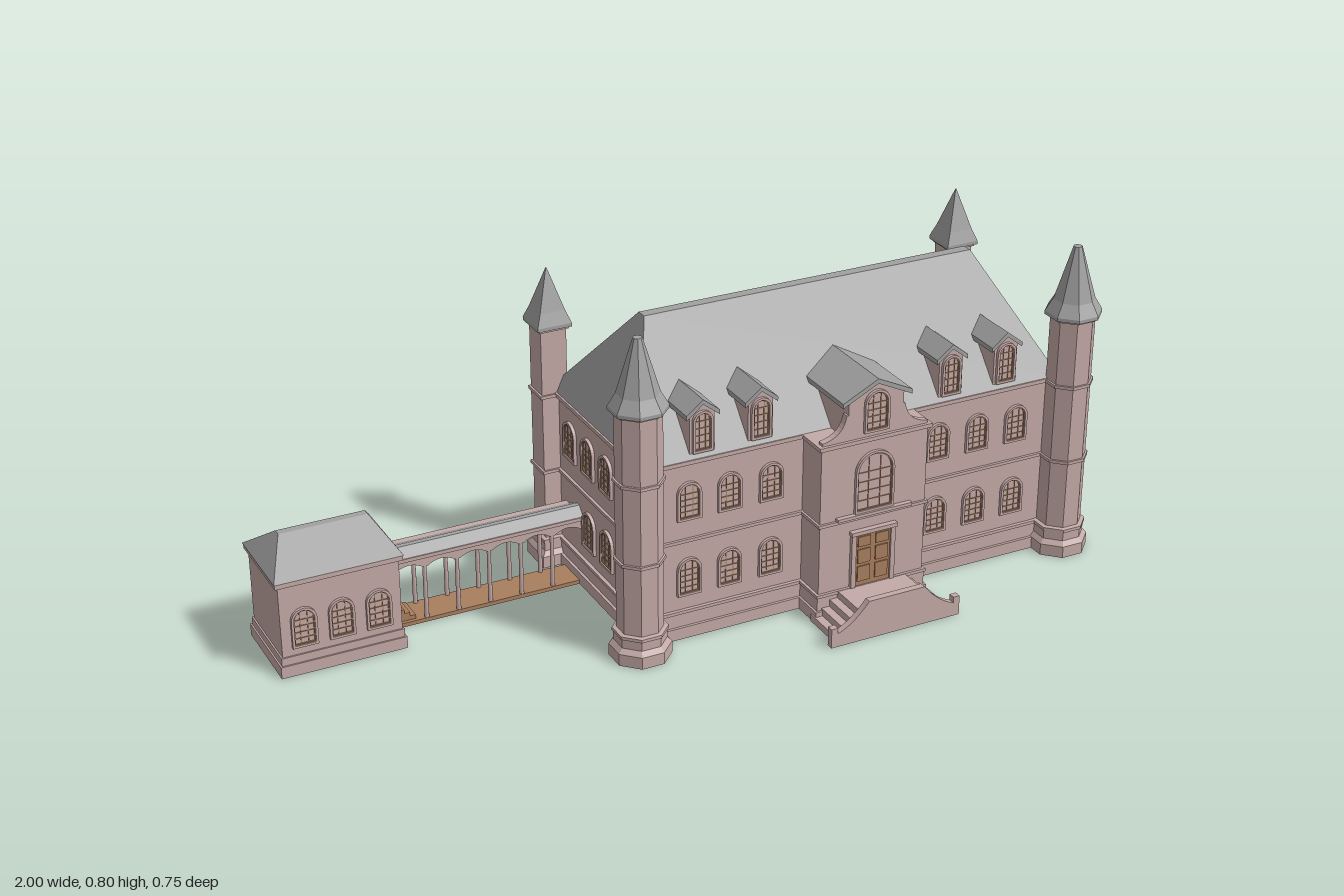
import * as THREE from 'three';
import { ConvexGeometry } from 'three/addons/geometries/ConvexGeometry.js';

const mat = (name, color) => new THREE.MeshStandardMaterial({ name, color });

export function createModel() {
  const stone = mat('rose stone', 0xc4aaa7);
  const slate = mat('grey slate', 0xa0a1a0);
  const wood = mat('brown wood', 0xa97f5e);
  const root = new THREE.Group();
  root.name = 'manor';

  const add = (name, geo, m, parent = root) => {
    const mesh = new THREE.Mesh(geo, m);
    mesh.name = name;
    parent.add(mesh);
    return mesh;
  };
  // Box given by its extents
  const box = (name, x0, x1, y0, y1, z0, z1, m = stone, parent = root) =>
    add(name, new THREE.BoxGeometry(x1 - x0, y1 - y0, z1 - z0)
      .translate((x0 + x1) / 2, (y0 + y1) / 2, (z0 + z1) / 2), m, parent);
  // Shape in xy, extruded from z0 to z1
  const slab = (name, shape, z0, z1, m = stone, parent = root) =>
    add(name, new THREE.ExtrudeGeometry(shape, { depth: z1 - z0, bevelEnabled: false, curveSegments: 8 })
      .translate(0, 0, z0), m, parent);
  const poly = pts => new THREE.Shape(pts.map(p => new THREE.Vector2(...p)));
  // Hipped roof between two level rectangles [x0, x1, z0, z1]
  const hip = (name, a, ya, b, yb) => {
    const pts = [];
    for (const [r, y] of [[a, ya], [b, yb]])
      for (const x of [r[0], r[1]]) for (const z of [r[2], r[3]]) pts.push(new THREE.Vector3(x, y, z));
    return add(name, new ConvexGeometry(pts), slate);
  };
  // Faceted prism turned from [apothem, y] points, flats facing the axes
  const turned = (name, pts, sides, m, parent) => {
    const k = 1 / Math.cos(Math.PI / sides);
    const geo = new THREE.LatheGeometry(pts.map(([r, y]) => new THREE.Vector2(r * k, y)), sides, Math.PI / sides)
      .toNonIndexed();
    geo.computeVertexNormals();
    return add(name, geo, m, parent);
  };
  // Round-headed outline, w = half width
  const arch = (w, h, inset = 0, Type = THREE.Shape) => {
    const s = new Type(), r = w - inset;
    s.moveTo(-r, inset);
    s.lineTo(r, inset);
    s.lineTo(r, h - w);
    s.absarc(0, h - w, r, 0, Math.PI, false);
    s.lineTo(-r, inset);
    return s;
  };
  // Arched window: stone surround, pane and wooden glazing bars
  const addWindow = (x, y, z, turn = 0, w = 0.031, h = 0.097, parent = root) => {
    const g = new THREE.Group();
    g.name = 'window';
    const surround = arch(w, h);
    surround.holes.push(arch(w, h, 0.006, THREE.Path));
    slab('windowSurround', surround, 0, 0.008, stone, g);
    slab('windowPane', arch(w, h, 0.005), 0, 0.002, stone, g);
    const sash = arch(w, h, 0.006);
    sash.holes.push(arch(w, h, 0.0085, THREE.Path));
    slab('windowSash', sash, 0.001, 0.005, wood, g);
    for (const s of [-1, 1])
      box('verticalBar', s * w * 0.3 - 0.001, s * w * 0.3 + 0.001, 0.007, h - w * 0.32, 0.001, 0.004, wood, g);
    for (let i = 1; i <= 4; i++) {
      const yy = 0.006 + (h - w - 0.006) * i / 4;
      box('crossBar', -w + 0.007, w - 0.007, yy - 0.001, yy + 0.001, 0.001, 0.004, wood, g);
    }
    g.position.set(x, y, z);
    g.rotation.y = turn;
    parent.add(g);
  };
  // Wall block with stepped plinth and string courses
  const block = (name, x0, x1, z0, z1, top, bands) => {
    box(name + 'Walls', x0, x1, 0, top, z0, z1);
    for (const [a, b, e] of bands)
      box(name + 'Band', x0 - e, x1 + e, a, b, z0 - e, z1 + e);
  };

  // Main house
  const courses = [[0, 0.03, 0.012], [0.03, 0.065, 0.005], [0.065, 0.073, 0.009], [0.25, 0.258, 0.007], [0.45, 0.46, 0.01]];
  block('house', -0.2, 0.91, -0.325, 0.165, 0.46, courses);
  hip('mainRoof', [-0.205, 0.915, -0.33, 0.172], 0.46, [-0.085, 0.795, -0.087, -0.06], 0.725);
  for (const y of [0.11, 0.307]) {
    for (const x of [-0.085, 0.02, 0.128, 0.58, 0.69, 0.8]) addWindow(x, y, 0.165);
    for (const z of [0.072, -0.028, -0.127, -0.228]) {
      addWindow(0.91, y, z, Math.PI / 2, 0.033, 0.1);
      if (y > 0.2 || z > -0.2) addWindow(-0.2, y, z, -Math.PI / 2, 0.033, 0.1);
    }
  }

  // Corner towers: octagonal at the front, square and slimmer at the back
  const addTower = (x, z, sides, base, shaft, eave, tip, peak) => {
    const g = new THREE.Group();
    g.name = 'tower';
    const low = shaft + (base - shaft) * 0.4, lip = shaft + 0.005;
    const p = [[0, 0], [base, 0], [base, 0.03], [low, 0.042], [low, 0.065], [low + 0.003, 0.065], [low + 0.003, 0.073], [shaft, 0.075]];
    for (const y of [0.25, 0.45]) p.push([shaft, y], [lip, y], [lip, y + 0.008], [shaft, y + 0.008]);
    p.push([shaft, 0.62], [lip, 0.622], [lip, 0.63], [0, 0.63]);
    turned('towerShaft', p, sides, stone, g);
    turned('towerRoof', [[0, 0.628], [eave, 0.628], [eave, 0.637], [eave * 0.73, 0.668], [tip, peak], [0, peak]], sides, slate, g);
    g.position.set(x, 0, z);
    root.add(g);
  };
  for (const s of [-1, 1]) {
    addTower(0.355 + s * 0.577, 0.189, 8, 0.068, 0.051, 0.064, 0.01, 0.8);
    addTower(0.355 + s * 0.565, -0.325, 4, 0.049, 0.033, 0.044, 0.001, 0.77);
  }

  // Gabled dormers running back into the roof
  const addDormer = (x, y0, front, w, eave, peak, over, win) => {
    const g = new THREE.Group();
    g.name = 'dormer';
    const rise = (peak - eave) / over;
    const at = d => peak - d * rise;
    slab('dormerWall', poly([[-w, y0], [w, y0], [w, at(w) - 0.008], [0, peak - 0.008], [-w, at(w) - 0.008]]), 0.06, front, stone, g);
    slab('dormerRoof', poly([[-over, eave - 0.012], [0, peak - 0.012], [over, eave - 0.012], [over, eave], [0, peak], [-over, eave]]),
      0.045, front + 0.006, slate, g);
    addWindow(0, y0 + 0.012, front, 0, win, peak - y0 - 0.04, g);
    g.position.x = x;
    root.add(g);
  };
  for (const x of [-0.05, 0.1, 0.61, 0.763]) addDormer(x, 0.46, 0.163, 0.032, 0.57, 0.603, 0.042, 0.026);
  addDormer(0.355, 0.46, 0.25, 0.073, 0.56, 0.605, 0.092, 0.033);

  // Entrance bay with curved gable shoulders
  const cx = 0.355;
  block('entranceBay', cx - 0.142, cx + 0.142, 0.1, 0.25, 0.46, courses.map(([a, b, e]) => [a, b, e * 0.8]));
  for (const s of [-1, 1]) {
    const c = new THREE.Shape();
    c.moveTo(cx + s * 0.07, 0.46);
    c.lineTo(cx + s * 0.14, 0.46);
    c.lineTo(cx + s * 0.14, 0.467);
    c.quadraticCurveTo(cx + s * 0.085, 0.475, cx + s * 0.078, 0.525);
    c.lineTo(cx + s * 0.07, 0.525);
    slab('gableShoulder', c, 0.232, 0.25);
  }
  addWindow(cx, 0.267, 0.25, 0, 0.052, 0.155);
  box('balconySill', cx - 0.1, cx + 0.1, 0.258, 0.266, 0.25, 0.262);
  for (const s of [-1, 1])
    box('doorJamb', cx + s * 0.053 - 0.006, cx + s * 0.053 + 0.006, 0.072, 0.22, 0.25, 0.26);
  box('doorLintel', cx - 0.062, cx + 0.062, 0.212, 0.222, 0.25, 0.264);
  box('door', cx - 0.047, cx + 0.047, 0.072, 0.212, 0.25, 0.255, wood);
  for (const s of [-1, 1]) for (const [a, b] of [[0.085, 0.125], [0.133, 0.17], [0.178, 0.204]])
    box('doorPanel', cx + s * 0.024 - 0.017, cx + s * 0.024 + 0.017, a, b, 0.255, 0.258, wood);

  // Double stair rising from both sides behind a swept parapet
  for (let i = 0; i < 4; i++)
    box('stairStep', cx - 0.155 + i * 0.021, cx + 0.155 - i * 0.021, i * 0.018, (i + 1) * 0.018, 0.24, 0.357);
  const par = new THREE.Shape();
  par.moveTo(cx - 0.174, 0);
  par.lineTo(cx + 0.174, 0);
  par.lineTo(cx + 0.174, 0.05);
  par.lineTo(cx + 0.157, 0.05);
  par.lineTo(cx + 0.157, 0.035);
  par.quadraticCurveTo(cx + 0.115, 0.05, cx + 0.075, 0.1);
  par.lineTo(cx - 0.075, 0.1);
  par.quadraticCurveTo(cx - 0.115, 0.05, cx - 0.157, 0.035);
  par.lineTo(cx - 0.157, 0.05);
  par.lineTo(cx - 0.174, 0.05);
  slab('stairParapet', par, 0.355, 0.372);

  // Detached side wing
  block('wing', -0.99, -0.7, -0.29, -0.085, 0.24, [[0, 0.03, 0.008], [0.03, 0.05, 0.004], [0.232, 0.245, 0.008]]);
  hip('wingRoof', [-1, -0.69, -0.3, -0.075], 0.245, [-0.95, -0.735, -0.197, -0.177], 0.315);
  for (const x of [-0.935, -0.845, -0.755]) addWindow(x, 0.07, -0.085, 0, 0.031, 0.1);

  // Open gallery linking wing and house
  const gx0 = -0.695, gx1 = -0.2, bay = 0.0815;
  box('galleryFloor', gx0, gx1, 0, 0.01, -0.255, -0.168, wood);
  for (let i = 0; i < 4; i++)
    box('galleryStep', gx0, -0.632 - i * 0.014, 0.01 + i * 0.01, 0.02 + i * 0.01, -0.245, -0.178, wood);
  const arcade = new THREE.Shape();
  arcade.moveTo(gx0, 0.18);
  arcade.lineTo(gx0, 0.148);
  for (let i = 0; i < 6; i++) {
    const x = -0.687 + i * bay;
    arcade.lineTo(x + 0.006, 0.148);
    arcade.quadraticCurveTo(x + bay / 2, 0.172, x + bay - 0.006, 0.148);
  }
  arcade.lineTo(gx1, 0.148);
  arcade.lineTo(gx1, 0.18);
  for (const z of [-0.249, -0.175]) {
    slab('galleryArcade', arcade, z - 0.006, z + 0.006);
    for (let i = 0; i < 6; i++) {
      const x = -0.687 + i * bay;
      add('galleryColumn', new THREE.CylinderGeometry(0.005, 0.006, 0.14, 8).translate(x, 0.08, z), stone);
    }
  }
  box('galleryCornice', gx0, gx1, 0.173, 0.182, -0.262, -0.163);
  hip('galleryRoof', [gx0, gx1, -0.245, -0.166], 0.182, [gx0, gx1, -0.2, -0.187], 0.204);

  return root;
}
